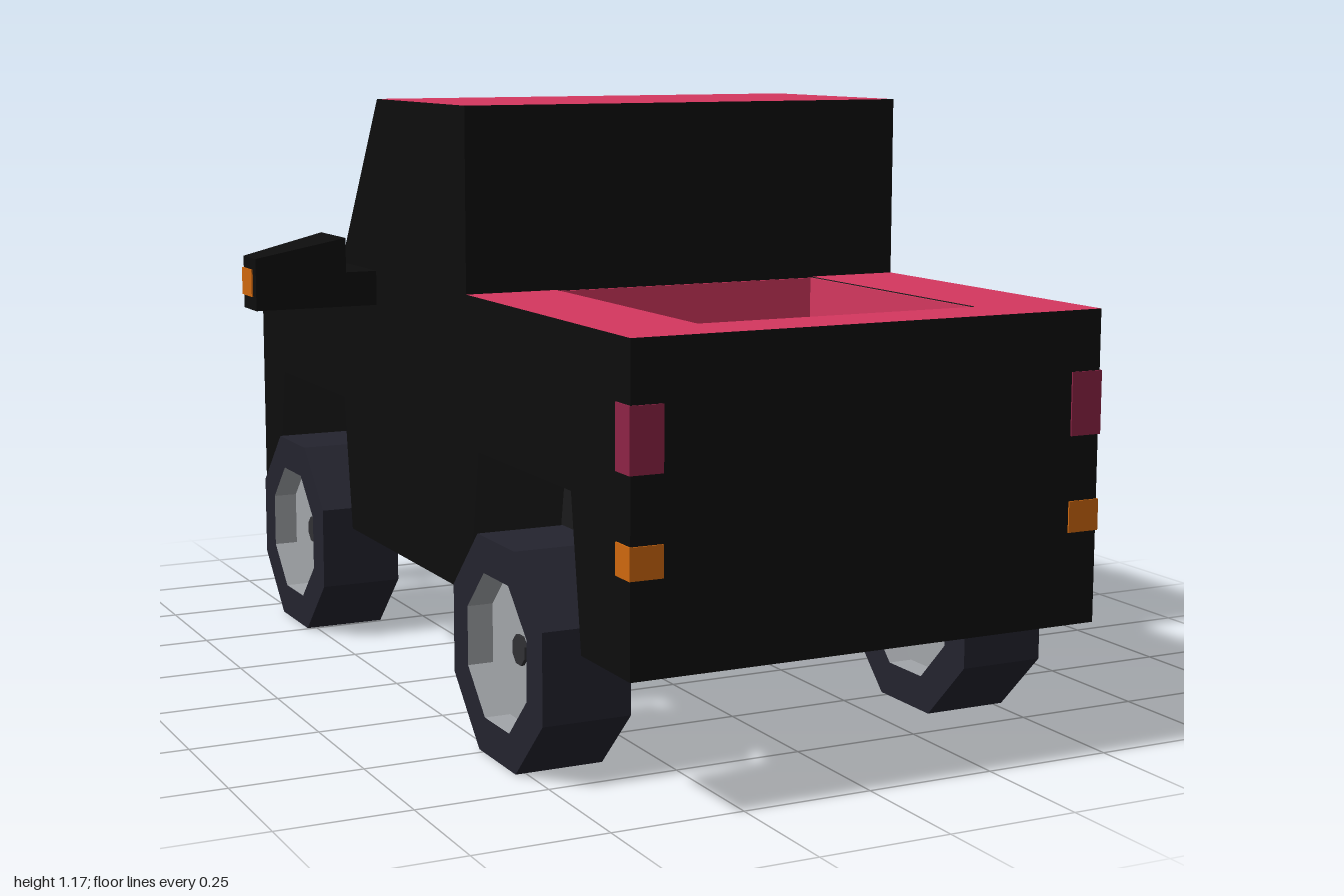
import * as THREE from 'three';

const colours = {
  blackPaint: 0x0d0d0d, crimsonPaint: 0xd4375f, undersideGrey: 0x1a1a1b, tyreRubber: 0x23232e, rimSilver: 0xa2a5a9,
  hubGrey: 0x303034, lampRed: 0x8e2446, lampOrange: 0xcf680e, lampWhite: 0xbcbcbc,
};
const M = {};
for (const [name, color] of Object.entries(colours)) {
  M[name] = new THREE.MeshStandardMaterial({ color });
  M[name].name = name;
}

function add(parent, name, geo, mat) {
  const mesh = new THREE.Mesh(geo, mat);
  mesh.name = name;
  parent.add(mesh);
  return mesh;
}

// box given by its ranges in x, y and z
function block(parent, name, mat, x, y, z) {
  const geo = new THREE.BoxGeometry(Math.abs(x[1] - x[0]), y[1] - y[0], Math.abs(z[1] - z[0]));
  geo.translate((x[0] + x[1]) / 2, (y[0] + y[1]) / 2, (z[0] + z[1]) / 2);
  return add(parent, name, geo, mat);
}

function extrude(points, depth) {
  const shape = new THREE.Shape(points.map(([a, b]) => new THREE.Vector2(a, b)));
  return new THREE.ExtrudeGeometry(shape, { depth, bevelEnabled: false });
}

// flat normals, then one material per face, chosen from its normal and first corner
function paint(geo, mats, pick) {
  geo.computeVertexNormals();
  geo.clearGroups();
  const p = new THREE.Vector3(), n = new THREE.Vector3();
  for (let i = 0; i < geo.attributes.position.count; i += 3) {
    p.fromBufferAttribute(geo.attributes.position, i);
    n.fromBufferAttribute(geo.attributes.normal, i);
    geo.addGroup(i, 3, pick(n, p));
  }
  return mats;
}

// side profiles as [z, y]
const nose = [[0.305, 1.17], [-0.16, 1.17], [-0.39, 0.82], [-0.79, 0.79], [-1, 0.75], [-1, 0.25]];
const sideProfile = [
  [1, 0.25], [1, 0.82], [0.305, 0.82], ...nose,
  [-0.85, 0.25], [-0.8, 0.53], [-0.39, 0.53], [-0.35, 0.25],
  [0.31, 0.25], [0.36, 0.53], [0.77, 0.53], [0.81, 0.25],
];
const coreProfile = [[1, 0.25], [1, 0.82], [0.88, 0.82], [0.88, 0.4], [0.305, 0.4], ...nose];

// lengthwise slice of the body; the nose tapers back and the hood drops toward the sides
function bodySlice(parent, name, profile, x0, x1) {
  const geo = extrude(profile.map(([z, y]) => [-z, y]), x1 - x0);
  geo.rotateY(Math.PI / 2).translate(x0, 0, 0);
  const pos = geo.attributes.position;
  for (let i = 0; i < pos.count; i++) {
    const y = pos.getY(i), z = pos.getZ(i);
    const d = THREE.MathUtils.clamp((Math.abs(pos.getX(i)) - 0.18) / 0.285, 0, 1);
    if (z < -0.9) pos.setZ(i, z + 0.045 * d);
    if (z < -0.7 && y > 0.7) pos.setY(i, y - 0.025 * d);
  }
  const mats = paint(geo, [M.blackPaint, M.crimsonPaint, M.undersideGrey], (n, p) => {
    if (n.y > 0.9) return 1;
    if (n.y < -0.1 || (Math.abs(n.x) > 0.9 && Math.abs(p.x) < 0.3)) return 2;
    return 0;
  });
  add(parent, name, geo, mats);
}

function lathe(points) {
  const geo = new THREE.LatheGeometry(points.map(([r, y]) => new THREE.Vector2(r, y)), 8, Math.PI / 8).toNonIndexed();
  geo.computeVertexNormals();
  return geo.rotateZ(Math.PI / 2);
}

function wheel(x, z) {
  const g = new THREE.Group();
  g.name = 'wheel';
  const R = 0.219, r = 0.146, w = 0.085, d = 0.035;
  add(g, 'tyre', lathe([[r, -w], [R, -w], [R, w], [r, w]]), M.tyreRubber);
  add(g, 'outerRim', lathe([[r, w], [r, d], [0, d]]), M.rimSilver);
  add(g, 'innerRim', lathe([[0, -d], [r, -d], [r, -w]]), M.rimSilver);
  add(g, 'hub', lathe([[0, -0.042], [0.029, -0.042], [0.029, 0.042], [0, 0.042]]), M.hubGrey);
  g.position.set(x, 0.2025, z);
  return g;
}

function sideMirror(s) {
  const g = new THREE.Group();
  g.name = s > 0 ? 'leftMirror' : 'rightMirror';
  const outline = [[0.465, 0.75], [0.72, 0.75], [0.72, 0.855], [0.53, 0.89], [0.53, 0.82], [0.465, 0.82]];
  const geo = extrude(outline.map(([x, y]) => [s * x, y]), 1);
  const pos = geo.attributes.position;
  for (let i = 0; i < pos.count; i++) {
    const slope = -0.355 + 0.095 * (Math.abs(pos.getX(i)) - 0.465) / 0.255;
    pos.setZ(i, pos.getZ(i) > 0.5 ? -0.18 : slope);
  }
  add(g, 'mirrorHousing', geo, paint(geo, [M.blackPaint, M.crimsonPaint], (n) => (s > 0 && n.z > 0.9 ? 1 : 0)));
  // turn signal wrapping the outer front corner
  const plan = [[0.61, 0.305], [0.723, 0.263], [0.723, 0.2], [0.65, 0.2]];
  const signal = extrude(plan.map(([x, z]) => [s * x, z]), 0.055);
  add(g, 'mirrorSignal', signal.rotateX(-Math.PI / 2).translate(0, 0.777, 0), M.lampOrange);
  if (s > 0) {
    block(g, 'mirrorGlass', M.rimSilver, [0.61, 0.67], [0.775, 0.832], [-0.182, -0.176]);
    block(g, 'mirrorGlassShade', M.hubGrey, [0.555, 0.61], [0.775, 0.832], [-0.182, -0.176]);
  }
  return g;
}

// lamps on the slanted corner panel: [name, material, t0, t1, y0, y1]
const lamps = [
  ['headlightBar', M.lampWhite, 0.06, 0.98, 0.645, 0.703],
  ['headlightStem', M.lampWhite, 0.44, 0.63, 0.54, 0.645],
  ['headlightEdge', M.lampWhite, 0.86, 0.98, 0.54, 0.645],
  ['frontSignal', M.lampOrange, 0.27, 0.89, 0.475, 0.535],
  ['innerFogLamp', M.lampWhite, 0.09, 0.3, 0.3, 0.348],
  ['outerFogLamp', M.lampWhite, 0.48, 0.69, 0.3, 0.348],
];

function frontLamps(s) {
  const g = new THREE.Group();
  g.name = 'frontLamps';
  const length = Math.hypot(0.285, 0.045);
  for (const [name, mat, t0, t1, y0, y1] of lamps) {
    block(g, name, mat, [s * t0 * length, s * t1 * length], [y0, y1], [-0.003, 0.004]);
  }
  g.position.set(s * 0.18, 0, -1);
  g.rotation.y = -s * Math.atan2(0.045, 0.285);
  return g;
}

export function createModel() {
  const truck = new THREE.Group();
  truck.name = 'pickupTruck';

  // body
  bodySlice(truck, 'bodyCentre', coreProfile, -0.18, 0.18);
  bodySlice(truck, 'bodyInnerLeft', coreProfile, 0.18, 0.28);
  bodySlice(truck, 'bodyInnerRight', coreProfile, -0.28, -0.18);
  bodySlice(truck, 'bodySideLeft', sideProfile, 0.28, 0.465);
  bodySlice(truck, 'bodySideRight', sideProfile, -0.465, -0.28);

  // cargo bed lining
  block(truck, 'bedFrontWall', M.crimsonPaint, [-0.28, 0.28], [0.4, 0.818], [0.304, 0.31]);
  block(truck, 'bedTailWall', M.crimsonPaint, [-0.28, 0.28], [0.4, 0.818], [0.875, 0.881]);
  for (const x of [-0.17, 0, 0.17]) {
    const ridge = [[-0.03, -0.305], [0.03, -0.305], [0.03, -0.78], [0.055, -0.82], [0.055, -0.875],
      [-0.06, -0.875], [-0.06, -0.37]];
    const geo = extrude(ridge.map(([a, b]) => [a + x, b]), 0.005);
    add(truck, 'bedFloorStripe', geo.rotateX(-Math.PI / 2).translate(0, 0.4, 0), M.lampRed);
  }

  for (const s of [1, -1]) {
    block(truck, 'bedSideWall', M.crimsonPaint, [s * 0.274, s * 0.28], [0.4, 0.818], [0.305, 0.88]);
    block(truck, 'wheelWellWall', M.undersideGrey, [s * 0.279, s * 0.284], [0.26, 0.6], [0.31, 0.83]);
    block(truck, 'tailLamp', M.lampRed, [s * 0.405, s * 0.468], [0.595, 0.71], [0.95, 1.003]);
    block(truck, 'rearSignal', M.lampOrange, [s * 0.405, s * 0.468], [0.42, 0.477], [0.95, 1.003]);
    truck.add(frontLamps(s), sideMirror(s), wheel(s * 0.434, 0.565), wheel(s * 0.434, -0.59));
  }
  return truck;
}
